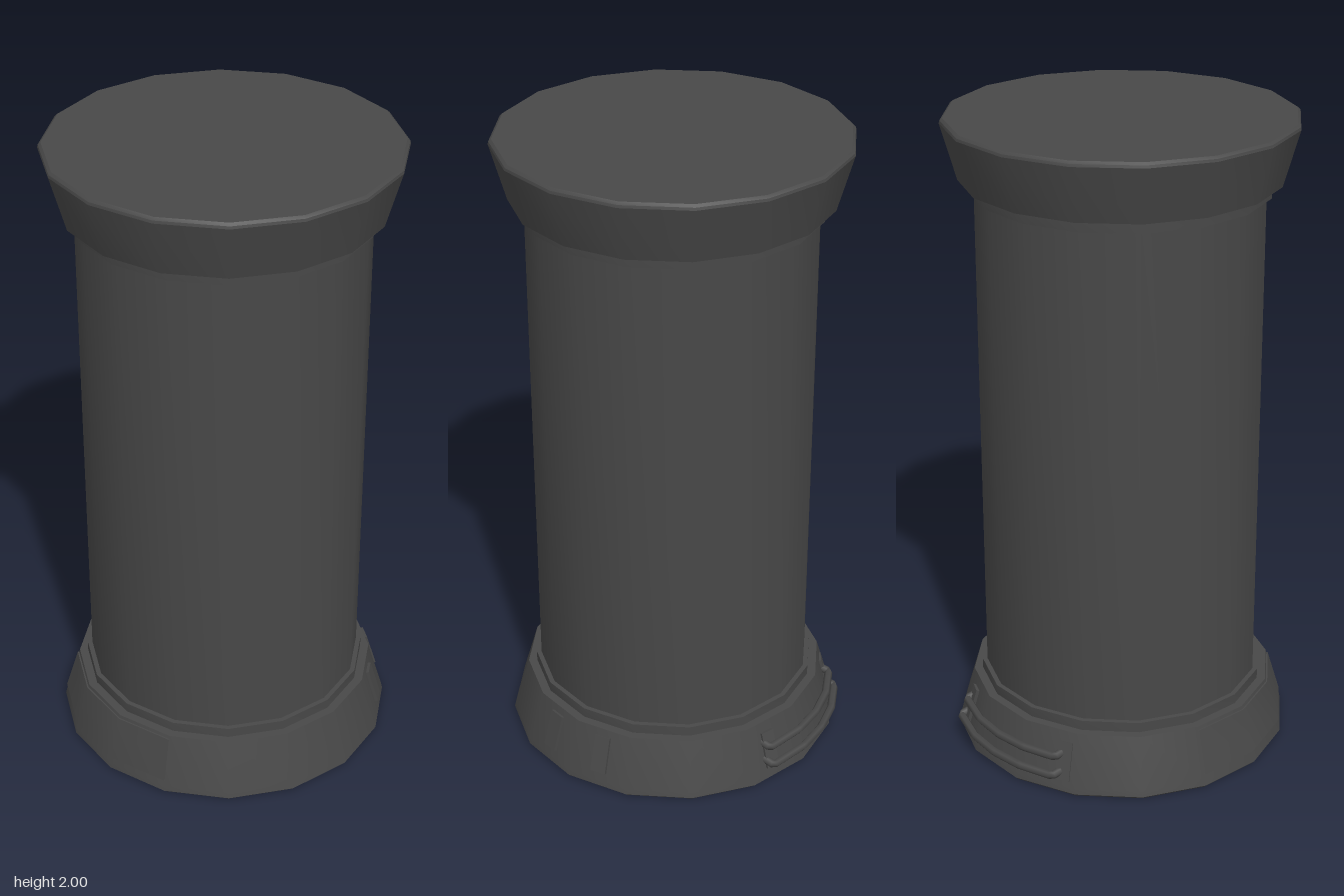
import * as THREE from 'three';
import { toCreasedNormals } from 'three/addons/utils/BufferGeometryUtils.js';

const SIDES = 16;
const STEP = Math.PI * 2 / SIDES;

export function createModel() {
  const model = new THREE.Group();
  model.name = 'canister';
  const material = new THREE.MeshStandardMaterial({ color: 0x484848, side: THREE.DoubleSide });

  const add = (name, geometry, parent = model) => {
    const mesh = new THREE.Mesh(geometry, material);
    mesh.name = name;
    parent.add(mesh);
    return mesh;
  };
  // Turned part from [radius, height] pairs, smooth around and sharp along the profile
  const turned = (name, profile, start = 0, count = SIDES) => add(name, toCreasedNormals(
    new THREE.LatheGeometry(profile.map(([r, y]) => new THREE.Vector2(r, y)), count, start, count * STEP),
    Math.PI / 7));
  // Radius of the sloped foot at a height
  const footRadius = y => 0.524 - (y - 0.025) * 0.3;

  // Main stack
  turned('foot', [[0, 0], [0.52, 0], [0.528, 0.008], [0.524, 0.025], [0.475, 0.19], [0, 0.19]]);
  turned('lowerCollar', [[0.448, 0.19], [0.448, 0.222], [0.43, 0.222]]);
  turned('body', [[0.433, 0.19], [0.433, 1.82]]);
  turned('upperCollar', [[0.43, 1.778], [0.448, 1.778], [0.448, 1.82]]);
  turned('cap', [[0, 1.815], [0.479, 1.815], [0.527, 1.985], [0.525, 1.993], [0.517, 2], [0, 2]]);

  // Access plate wrapped over three facets of the foot
  const lo = 0.045, hi = 0.18, lift = 0.005;
  turned('accessPlate', [
    [footRadius(lo) - 0.005, lo], [footRadius(lo) + lift, lo],
    [footRadius(hi) + lift, hi], [footRadius(hi) - 0.005, hi],
  ], -4 * STEP, 3);

  // Raised tabs, each centred on its own facet
  for (const k of [3.5, 4.5]) {
    const pivot = new THREE.Group();
    pivot.name = 'tabPivot';
    pivot.rotation.y = k * STEP;
    model.add(pivot);
    const tab = add('sideTab', new THREE.BoxGeometry(0.052, 0.12, 0.016), pivot);
    tab.position.set(0, 0.11, footRadius(0.11) * Math.cos(STEP / 2) + 0.002);
    tab.rotation.x = -Math.atan(0.3);
  }

  // Two grab rails that follow the back of the foot and turn in at the ends
  const onBack = (deg, r, y) => {
    const a = THREE.MathUtils.degToRad(deg);
    return new THREE.Vector3(r * Math.sin(a), y, -r * Math.cos(a));
  };
  for (const [y, r] of [[0.118, 0.51], [0.062, 0.53]]) {
    const path = new THREE.CurvePath();
    const points = [onBack(-41, r - 0.055, y + 0.012), onBack(-37, r, y)];
    for (const deg of [-24, -12, 0, 15]) points.push(onBack(deg, r, y));
    points.push(onBack(17, r - 0.05, y + 0.012));
    for (let i = 1; i < points.length; i++) path.add(new THREE.LineCurve3(points[i - 1], points[i]));
    add('grabRail', new THREE.TubeGeometry(path, 48, 0.013, 6));
  }

  // Mounting brackets at the rail ends
  for (const deg of [-40, 14]) {
    const pivot = new THREE.Group();
    pivot.name = 'bracketPivot';
    pivot.rotation.y = Math.PI - THREE.MathUtils.degToRad(deg);
    model.add(pivot);
    const bracket = add('railBracket', new THREE.BoxGeometry(0.045, 0.12, 0.016), pivot);
    bracket.position.set(0, 0.1, footRadius(0.1) * 0.985);
    bracket.rotation.x = -Math.atan(0.3);
  }

  model.position.z = 0.005;
  return model;
}
